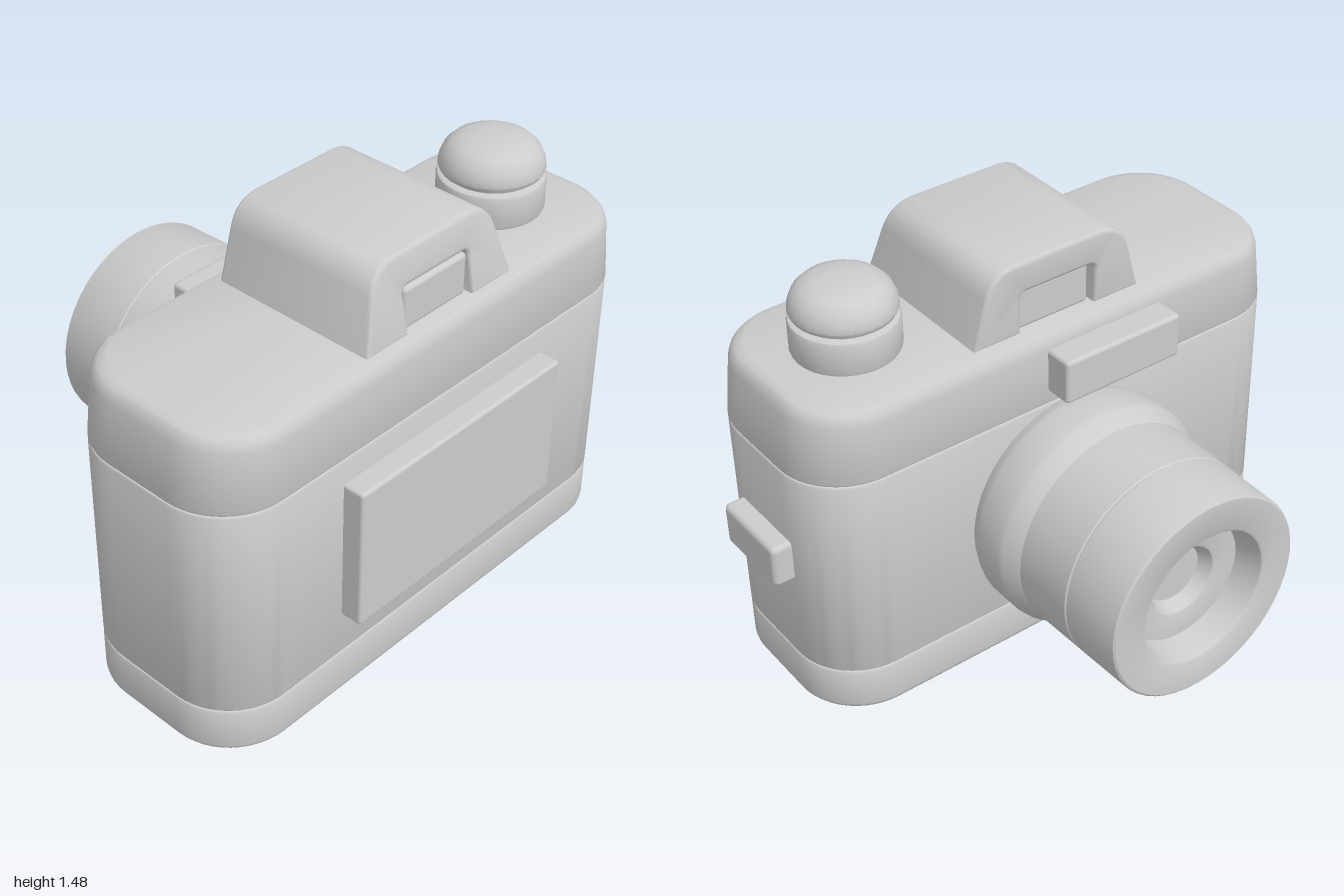
import * as THREE from 'three';
import { toCreasedNormals } from 'three/addons/utils/BufferGeometryUtils.js';
import { RoundedBoxGeometry } from 'three/addons/geometries/RoundedBoxGeometry.js';

const CX = -0.035, CZ = 0.31;       // centre of the body plan
const HW = 0.965, HD = 0.36;        // half width and half depth of the body

// Rounded-rectangle outline of the body, [x, z] pairs
function planOutline(r = 0.235, steps = 12) {
  const pts = [];
  [[1, 1], [-1, 1], [-1, -1], [1, -1]].forEach(([sx, sz], q) => {
    for (let i = 0; i <= steps; i++) {
      const a = (q + i / steps) * Math.PI / 2;
      pts.push([sx * (HW - r) + r * Math.cos(a), sz * (HD - r) + r * Math.sin(a)]);
    }
  });
  return pts;
}

// Closed body section stacked from levels of [y, inset x, inset z]
function bodySection(levels) {
  const plan = planOutline(), n = plan.length, pos = [], idx = [];
  for (const [y, ix, iz] of levels)
    for (const [x, z] of plan) pos.push(CX + x * (1 - ix / HW), y, CZ + z * (1 - iz / HD));
  for (let k = 0; k < levels.length - 1; k++)
    for (let i = 0; i < n; i++) {
      const j = (i + 1) % n, a = k * n + i, b = k * n + j;
      idx.push(a, a + n, b, b, a + n, b + n);
    }
  const last = levels.length - 1, bottom = pos.length / 3, top = bottom + 1;
  pos.push(CX, levels[0][0], CZ, CX, levels[last][0], CZ);
  for (let i = 0; i < n; i++) {
    const j = (i + 1) % n;
    idx.push(bottom, i, j, top, last * n + j, last * n + i);
  }
  const g = new THREE.BufferGeometry();
  g.setAttribute('position', new THREE.Float32BufferAttribute(pos, 3));
  g.setIndex(idx);
  return toCreasedNormals(g, 0.6);
}

function lathe(profile, segments) {
  const pts = profile.map(([r, y]) => new THREE.Vector2(r, y));
  return toCreasedNormals(new THREE.LatheGeometry(pts, segments), 0.6);
}

// Rounded box given by its limits
function box(x0, x1, y0, y1, z0, z1, r) {
  return new RoundedBoxGeometry(x1 - x0, y1 - y0, z1 - z0, 3, r)
    .translate((x0 + x1) / 2, (y0 + y1) / 2, (z0 + z1) / 2);
}

// Arched viewfinder hump with a notch through it and a sloping front
function humpGeometry() {
  const s = new THREE.Shape();
  s.moveTo(-0.365, 1.22);
  s.lineTo(-0.32, 1.39);
  s.quadraticCurveTo(-0.295, 1.482, -0.2, 1.482);
  s.lineTo(0.13, 1.482);
  s.quadraticCurveTo(0.225, 1.482, 0.25, 1.39);
  s.lineTo(0.295, 1.22);
  s.lineTo(0.115, 1.22);
  s.lineTo(0.115, 1.345);
  s.quadraticCurveTo(0.115, 1.37, 0.09, 1.37);
  s.lineTo(-0.16, 1.37);
  s.quadraticCurveTo(-0.185, 1.37, -0.185, 1.345);
  s.lineTo(-0.185, 1.22);
  const b = 0.014;
  const g = new THREE.ExtrudeGeometry(s, {
    depth: 0.62 - 2 * b, bevelThickness: b, bevelSize: b, bevelOffset: -b,
    bevelSegments: 3, curveSegments: 10,
  }).translate(0, 0, 0.01 + b);
  const p = g.attributes.position;
  for (let i = 0; i < p.count; i++) {
    const t = (p.getY(i) - 1.22) / 0.26;
    p.setZ(i, 0.01 + (p.getZ(i) - 0.01) * (1 - 0.09 * t));
  }
  return toCreasedNormals(g, 0.6);
}

export function createModel() {
  const model = new THREE.Group();
  model.name = 'camera';
  const grey = new THREE.MeshStandardMaterial({ color: 0xcccccc });
  grey.name = 'light grey';
  const add = (name, geometry) => {
    const mesh = new THREE.Mesh(geometry, grey);
    mesh.name = name;
    model.add(mesh);
    return mesh;
  };

  // Body in three stacked sections with fine seams between them
  add('basePlate', bodySection([
    [0, 0.03, 0.03], [0.006, 0.012, 0.012], [0.02, 0.002, 0.002], [0.03, 0, 0],
    [0.168, 0, 0], [0.175, 0.003, 0.003], [0.178, 0.01, 0.01]]));
  add('bodyShell', bodySection([
    [0.178, 0.01, 0.01], [0.181, 0.003, 0.003], [0.188, 0, 0],
    [0.945, 0, 0], [0.952, 0.003, 0.003], [0.955, 0.01, 0.01]]));
  add('topCover', bodySection([
    [0.955, 0.01, 0.01], [0.958, 0.003, 0.003], [0.966, 0, 0], [1.165, 0.025, 0.004],
    [1.19, 0.033, 0.009], [1.207, 0.046, 0.02], [1.215, 0.07, 0.042]]));

  // Lens barrel: rear ring, two barrel rings, hollow front
  const lens = new THREE.Group();
  lens.name = 'lens';
  lens.position.set(CX, 0.553, -0.04);
  lens.rotation.x = -Math.PI / 2;
  const parts = {
    lensMountRing: [[0, 0], [0.395, 0], [0.4, 0.015], [0.413, 0.04], [0.418, 0.06], [0.418, 0.165],
      [0.414, 0.185], [0.392, 0.22], [0.386, 0.232], [0.38, 0.24], [0, 0.24]],
    focusRing: [[0.376, 0.238], [0.385, 0.243], [0.385, 0.252], [0.381, 0.468], [0.376, 0.473], [0, 0.473]],
    frontRing: [[0.376, 0.473], [0.381, 0.478], [0.376, 0.693], [0.374, 0.7], [0.367, 0.705],
      [0.255, 0.705], [0.247, 0.7], [0.243, 0.69], [0.225, 0.6], [0.135, 0.6],
      [0.128, 0.597], [0.105, 0.55], [0, 0.55]],
  };
  for (const [name, profile] of Object.entries(parts)) {
    const ring = new THREE.Mesh(lathe(profile, 48), grey);
    ring.name = name;
    lens.add(ring);
  }
  model.add(lens);

  // Viewfinder hump and the eyepiece block set in its notch
  add('viewfinderHump', humpGeometry());
  add('eyepieceBlock', box(-0.178, 0.108, 1.215, 1.363, 0.04, 0.6, 0.015));

  // Dial and domed button
  add('dialBase', lathe([[0, 1.21], [0.175, 1.21], [0.181, 1.225], [0.181, 1.322],
    [0.177, 1.332], [0.168, 1.336], [0, 1.336]], 32)).position.set(0.58, 0, CZ);
  add('dialButton', lathe([[0, 1.33], [0.15, 1.33], [0.155, 1.345], [0.17, 1.35], [0.177, 1.365],
    [0.173, 1.39], [0.16, 1.42], [0.135, 1.445], [0.1, 1.459], [0.05, 1.465], [0, 1.466]], 32))
    .position.set(0.58, 0, CZ);

  // Small attached blocks
  add('backPanel', box(-0.507, 0.437, 0.34, 0.863, 0.64, 0.747, 0.012));
  add('sideLatch', box(0.9, 1.0, 0.52, 0.68, 0.157, 0.465, 0.02));
  add('flashWindow', box(-0.42, 0.052, 1.002, 1.163, -0.147, -0.03, 0.014));

  return model;
}
